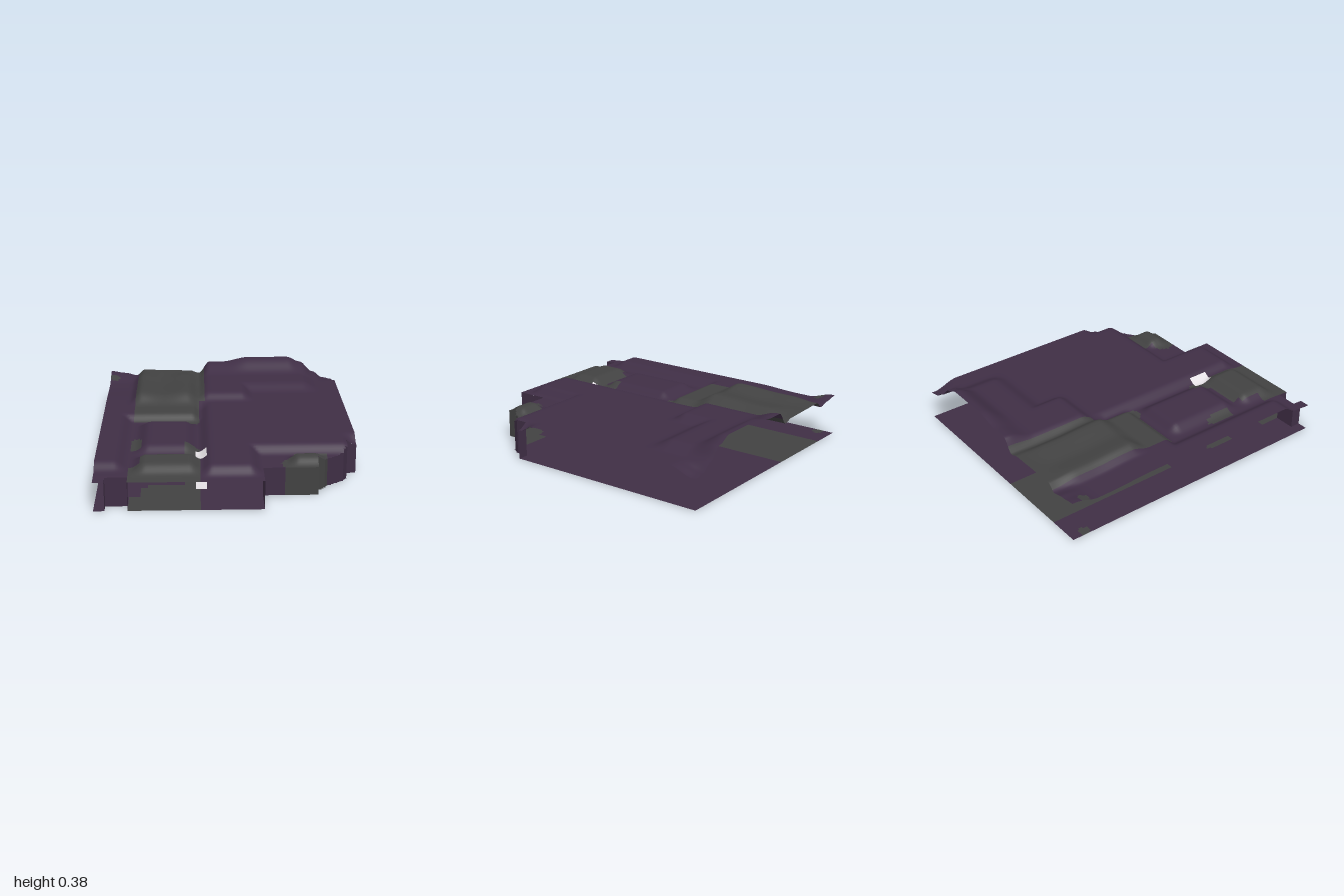
import * as THREE from 'three';

const W = 0.855, NX = 120, NZ = 140;
const materials = [['plumGround', 0x3f2e45], ['greyGround', 0x424242], ['paleSlab', 0xe4e0e4]].map(([name, color]) => {
  const m = new THREE.MeshStandardMaterial({ color, side: THREE.DoubleSide });
  m.name = name;
  return m;
});

// Small helpers for soft terrain shapes
const sm = (a, b, v) => {
  const t = Math.min(1, Math.max(0, (v - a) / (b - a)));
  return t * t * (3 - 2 * t);
};
const mix = (a, b, t) => a + (b - a) * t;
const block = (x, z, x0, x1, z0, z1, s = 0.05) =>
  sm(x0 - s, x0 + s, x) * (1 - sm(x1 - s, x1 + s, x)) * sm(z0 - s, z0 + s, z) * (1 - sm(z1 - s, z1 + s, z));
function profile(points, v) {
  if (v <= points[0][0]) return points[0][1];
  for (let i = 1; i < points.length; i++) {
    const [a, b] = [points[i - 1], points[i]];
    if (v <= b[0]) return mix(a[1], b[1], sm(a[0], b[0], v));
  }
  return points[points.length - 1][1];
}
function inside(poly, x, z) {
  let hit = false;
  for (let i = 0, j = poly.length - 1; i < poly.length; j = i++) {
    const [ax, az] = poly[i], [bx, bz] = poly[j];
    if ((az > z) !== (bz > z) && x < ((bx - ax) * (z - az)) / (bz - az) + ax) hit = !hit;
  }
  return hit;
}

// Plan outline, front edges listed from right to left
const frontRight = [[W, 0.4286], [0.784, 0.4286], [0.784, 0.51], [0.755, 0.56], [0.64, 0.64], [0.62, 0.67],
  [0.57, 0.71], [0.57, 0.7857], [0.2138, 0.7857], [0.2138, 1]];
const notch = [[-0.641, 1], [-0.641, 0.9286], [-0.784, 0.9286], [-0.784, 1]];
const outline = [[-W, -1], [W, -1], ...frontRight, ...notch, [-W, 1]];

// Grey and pale patches in plan
const greyPatches = [
  [[-0.645, -1], [-0.145, -1], [-0.145, -0.34], [-0.18, -0.34], [-0.18, -0.04], [-0.2, -0.005], [-0.25, -0.005],
    [-0.29, -0.04], [-0.645, -0.04]],
  [[-0.53, 0.6], [-0.29, 0.6], [-0.29, 0.46], [-0.21, 0.46], [-0.18, 0.5], [-0.18, 1], [-0.645, 1], [-0.645, 0.785],
    [-0.57, 0.785], [-0.57, 0.64], [-0.53, 0.64]],
  [[-0.645, 0.33], [-0.62, 0.29], [-0.59, 0.3], [-0.57, 0.36], [-0.57, 0.5], [-0.645, 0.5]],
  [[0.427, 0.57], [0.64, 0.57], [0.64, 0.65], [0.57, 0.72], [0.57, 0.79], [0.36, 0.79], [0.33, 0.72], [0.36, 0.66], [0.42, 0.64]],
];
function patchAt(x, z) {
  if (x > -0.215 && x < -0.145 && z > 0.53 && z < 0.675) return 2;
  if (Math.hypot(x + 0.825, z + 0.895) < 0.037) return 1;
  return greyPatches.some((p) => inside(p, x, z)) ? 1 : 0;
}

// Height of the upper sheet
const backEdge = [[-W, 0.28], [-0.75, 0.265], [-0.66, 0.245], [-0.6, 0.29], [-0.45, 0.285], [-0.25, 0.28], [-0.18, 0.26],
  [-0.1, 0.35], [0, 0.35], [0.2, 0.384], [0.5, 0.384], [0.6, 0.345], [0.7, 0.265], [0.78, 0.215], [W, 0.2]];
const ridge = [[-0.69, 0.25], [-0.6, 0.315], [-0.45, 0.295], [-0.28, 0.315], [-0.17, 0.262]];
function height(x, z) {
  // broad right-hand plateau, rounded down along the front
  const plain = Math.max(block(x, z, -9, 0.17, -9, 0.9), block(x, z, -9, 9, -9, 0.545));
  let right = 0.19 + 0.06 * plain * (1 - 0.8 * block(x, z, 0.8, 9, 0.36, 9));
  right += 0.05 * Math.max(block(x, z, -9, 0.17, -9, -0.37), block(x, z, -9, 0.65, -9, -0.58, 0.07));
  right += 0.045 * block(x, z, 0.41, 0.6, 0.62, 0.74, 0.04);
  // left-hand strip, mound and front shelf
  let left = 0.2 + 0.05 * Math.max(
    block(x, z, -9, -0.69, -9, 0.82),
    block(x, z, -9, -0.2, -9, -0.07, 0.04),
    block(x, z, -0.57, -0.24, 0.03, 0.54),
    block(x, z, -0.58, -0.21, 0.64, 0.87),
  );
  left = mix(left, profile(ridge, x) - 0.012 * (1 - sm(-0.7, -0.4, z)), 1 - sm(-0.38, -0.24, z));
  left -= 0.01 * sm(0.85, 1, z);
  const y = mix(left, right, sm(-0.2, -0.11, x));
  return mix(y, profile(backEdge, x), 1 - sm(-0.98, -0.8, z));
}

// Regular sheet clipped to the outline and divided into colour groups
function sheet(name, heightAt) {
  const positions = [], faces = [[], [], []];
  const px = (i) => -W + (2 * W * i) / NX, pz = (j) => -1 + (2 * j) / NZ;
  for (let j = 0; j <= NZ; j++) for (let i = 0; i <= NX; i++) positions.push(px(i), heightAt(px(i), pz(j)), pz(j));
  for (let j = 0; j < NZ; j++) {
    for (let i = 0; i < NX; i++) {
      const x = px(i + 0.5), z = pz(j + 0.5);
      if (!inside(outline, x, z)) continue;
      const a = j * (NX + 1) + i, b = a + 1, c = a + NX + 1, d = c + 1;
      faces[patchAt(x, z)].push(a, c, b, b, c, d);
    }
  }
  const geometry = new THREE.BufferGeometry();
  geometry.setAttribute('position', new THREE.Float32BufferAttribute(positions, 3));
  geometry.setIndex(faces.flat());
  let start = 0;
  faces.forEach((f, k) => {
    geometry.addGroup(start, f.length, k);
    start += f.length;
  });
  geometry.computeVertexNormals();
  const mesh = new THREE.Mesh(geometry, materials);
  mesh.name = name;
  return mesh;
}

// Upright strip between two plan points, following the terrain at its top
function wall([ax, az], [bx, bz], colour) {
  const n = 12, geometry = new THREE.PlaneGeometry(1, 1, n, 1), p = geometry.attributes.position;
  for (let k = 0; k < p.count; k++) {
    const t = p.getX(k) + 0.5, x = mix(bx, ax, t), z = mix(bz, az, t);
    p.setXYZ(k, x, p.getY(k) > 0 ? height(x, z) : 0, z);
  }
  geometry.computeVertexNormals();
  const mesh = new THREE.Mesh(geometry, materials[colour]);
  mesh.name = 'edgeWall';
  return mesh;
}

export function createModel() {
  const model = new THREE.Group();
  model.name = 'terrainTile';
  model.add(sheet('upperTerrain', height), sheet('baseSheet', () => 0));

  const walls = new THREE.Group();
  walls.name = 'edgeWalls';
  for (let i = 0; i < frontRight.length - 1; i++) {
    const a = frontRight[i], b = frontRight[i + 1];
    if (i === 7) {
      const split = [0.355, a[1]];
      walls.add(wall(a, split, 1), wall(split, b, 0));
    } else walls.add(wall(a, b, i >= 4 && i <= 6 ? 1 : 0));
  }
  for (let i = 0; i < 3; i++) walls.add(wall(notch[i], notch[i + 1], 0));
  model.add(walls);
  return model;
}
